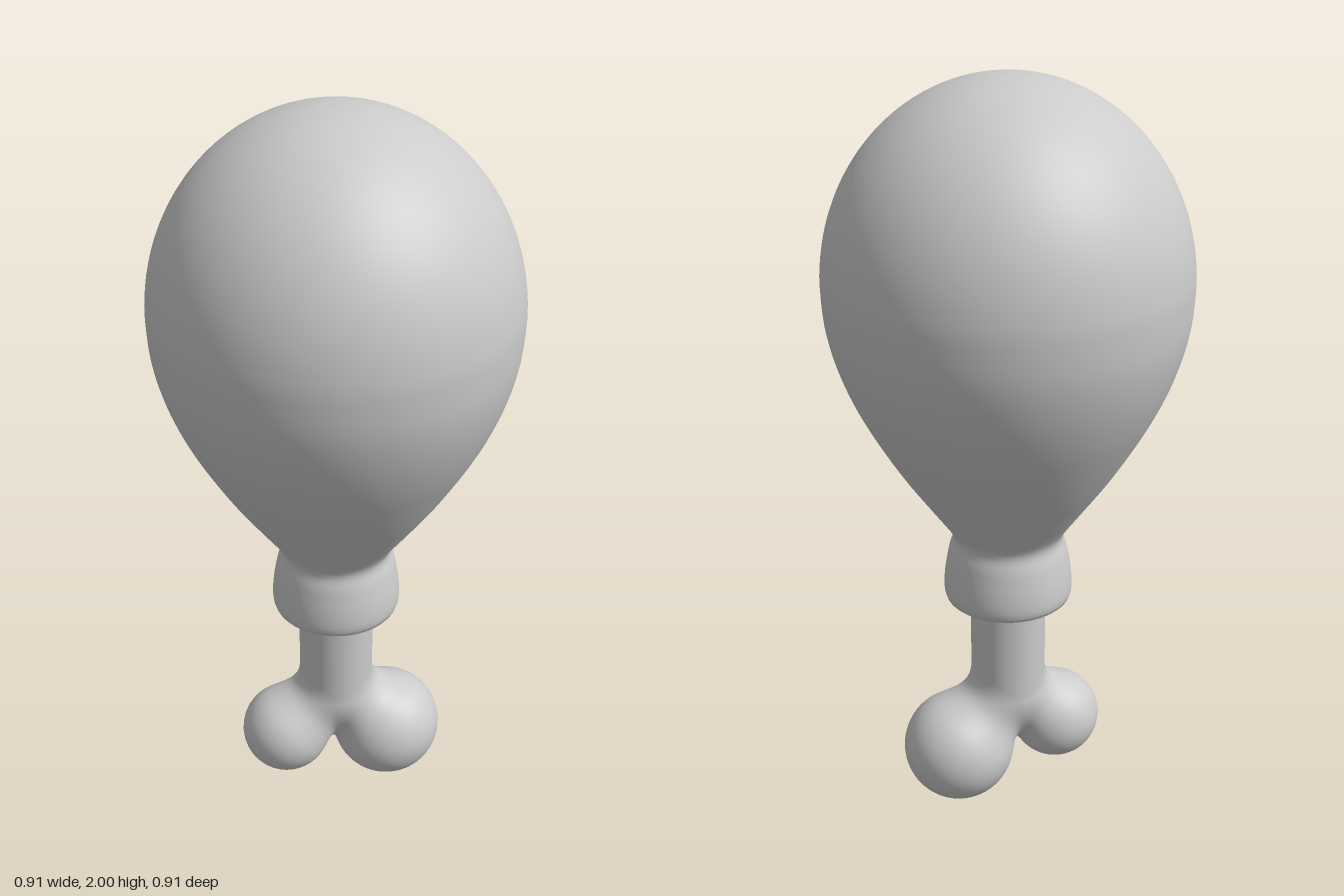
import * as THREE from 'three';

const material = new THREE.MeshStandardMaterial({ color: 0xcccccc, roughness: 0.8 });

// Meat: one turned profile, from the recess under the collar up to the crown
function createMeat() {
  const lower = [
    [0.09, 0.66], [0.122, 0.655], [0.13, 0.635], [0.139, 0.619], [0.153, 0.615],
    [0.166, 0.623], [0.171, 0.65], [0.167, 0.7], [0.156, 0.76], [0.146, 0.795],
    [0.155, 0.825], [0.21, 0.905], [0.275, 1.0], [0.335, 1.1], [0.387, 1.2], [0.426, 1.3], [0.45, 1.4],
  ].map(([x, y]) => new THREE.Vector2(x, y));
  // Elliptical crown
  const crown = [];
  for (let i = 0; i <= 12; i++) {
    const a = (i / 12) * Math.PI / 2;
    crown.push(new THREE.Vector2(0.457 * Math.cos(a), 1.5 + 0.5 * Math.sin(a)));
  }
  const points = new THREE.SplineCurve([...lower, ...crown]).getSpacedPoints(140);
  points[points.length - 1].set(0, 2);
  const meat = new THREE.Mesh(new THREE.LatheGeometry(points, 96), material);
  meat.name = 'meat';
  return meat;
}

// Smooth minimum blends two distances with a fillet of size k
function blend(a, b, k) {
  const h = Math.max(k - Math.abs(a - b), 0) / k;
  return Math.min(a, b) - h * h * k * 0.25;
}

const leftKnob = new THREE.Vector3(0.145, 0.155, 0.02);
const rightKnob = new THREE.Vector3(-0.145, 0.185, -0.01);

// Distance to the bone: a round shaft filleted into two knobs
function boneDistance(p) {
  const y = THREE.MathUtils.clamp(p.y, 0.32, 0.66);
  const shaft = Math.hypot(p.x, p.y - y, p.z) - 0.101;
  const knobs = blend(p.distanceTo(leftKnob) - 0.152, p.distanceTo(rightKnob) - 0.124, 0.04);
  return blend(shaft, knobs, 0.1);
}

// Bone: a sphere whose vertices are pushed out to the blended surface
function createBone() {
  const geometry = new THREE.SphereGeometry(1, 96, 140);
  const { position, normal } = geometry.attributes;
  const centre = new THREE.Vector3(0, 0.28, 0);
  const dir = new THREE.Vector3(), p = new THREE.Vector3(), q = new THREE.Vector3(), n = new THREE.Vector3();
  const e = 0.001;
  for (let i = 0; i < position.count; i++) {
    dir.fromBufferAttribute(position, i).normalize();
    let t = 0;
    for (let step = 0; step < 150; step++) {
      const d = boneDistance(p.copy(centre).addScaledVector(dir, t));
      if (d > -1e-5) break;
      t -= d;
    }
    position.setXYZ(i, p.x, p.y, p.z);
    // Smooth normal from the distance gradient
    for (const axis of ['x', 'y', 'z']) {
      q.copy(p)[axis] += e;
      const ahead = boneDistance(q);
      q[axis] -= 2 * e;
      n[axis] = ahead - boneDistance(q);
    }
    n.normalize();
    normal.setXYZ(i, n.x, n.y, n.z);
  }
  const bone = new THREE.Mesh(geometry, material);
  bone.name = 'bone';
  return bone;
}

export function createModel() {
  const model = new THREE.Group();
  model.name = 'drumstick';
  model.add(createMeat(), createBone());
  return model;
}
